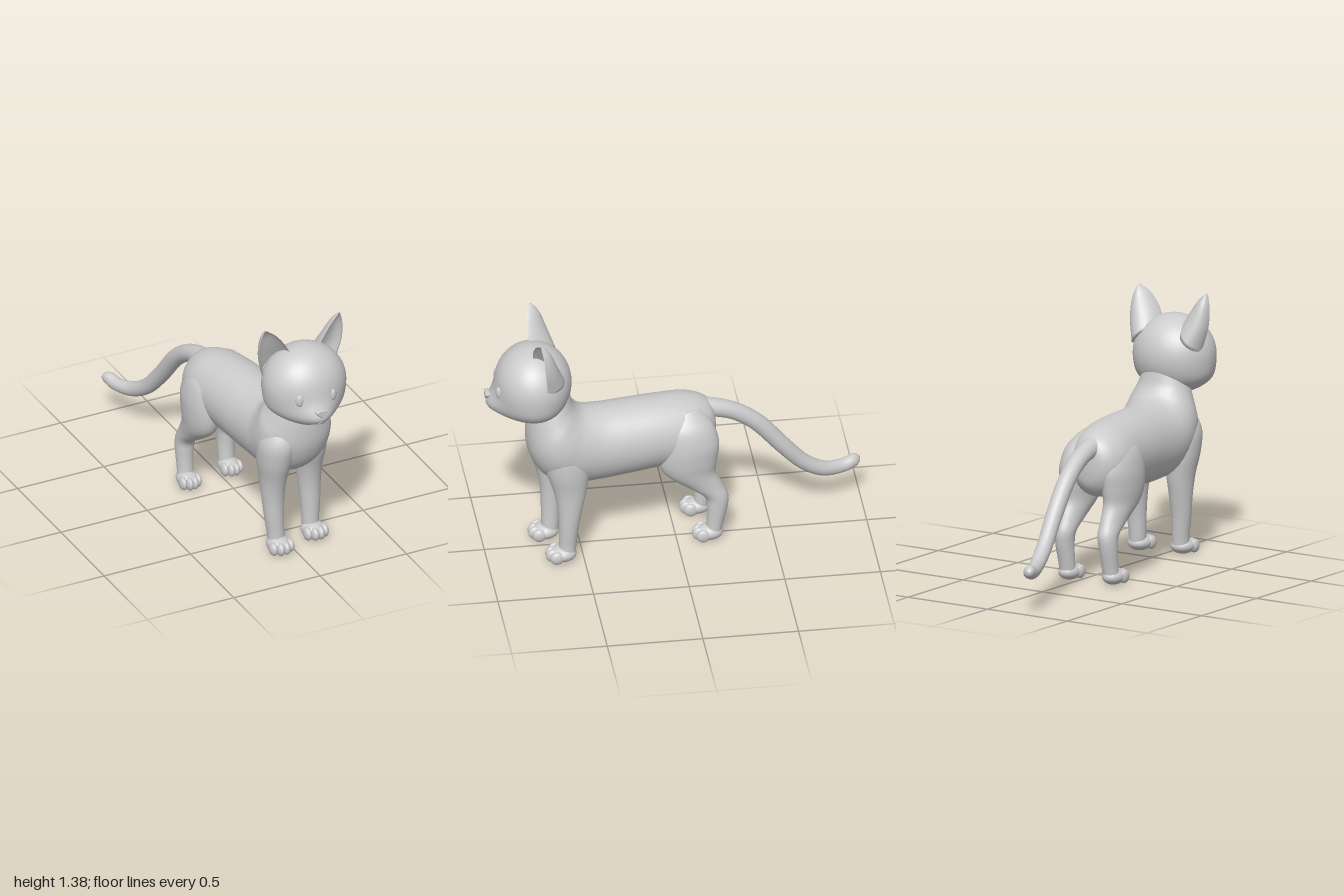
import * as THREE from 'three';

const grey = new THREE.MeshStandardMaterial({ color: 0xcccccc });
const V = (x, y, z) => new THREE.Vector3(x, y, z);
const bump = (d, w) => Math.exp(-(d * d) / (w * w));

function add(parent, name, geometry) {
  const mesh = new THREE.Mesh(geometry, grey);
  mesh.name = name;
  parent.add(mesh);
  return mesh;
}

// Smooth closed skin over a stack of rings, capped at both ends
function skin(rings) {
  const n = rings[0].length, pos = [], index = [];
  for (const ring of rings) for (const p of ring) pos.push(p.x, p.y, p.z);
  for (let i = 0; i < rings.length - 1; i++) {
    for (let j = 0; j < n; j++) {
      const k = (j + 1) % n, a = i * n + j, b = i * n + k;
      index.push(a, b, b + n, a, b + n, a + n);
    }
  }
  const last = (rings.length - 1) * n;
  for (let j = 1; j < n - 1; j++) {
    index.push(0, j + 1, j, last, last + j, last + j + 1);
  }
  const g = new THREE.BufferGeometry();
  g.setAttribute('position', new THREE.Float32BufferAttribute(pos, 3));
  g.setIndex(index);
  g.computeVertexNormals();
  return g;
}

// Loft through elliptical sections [x, y, z, half width, half depth, tilt];
// tilt 0 faces +z, a quarter turn faces up
function loft(sections, steps = 6, sides = 36) {
  const rings = [];
  const at = (i) => sections[Math.min(Math.max(i, 0), sections.length - 1)];
  for (let i = 0; i < sections.length - 1; i++) {
    for (let s = i ? 1 : 0; s <= steps; s++) {
      const f = s / steps;
      const [x, y, z, a, b, t] = at(i).map((p1, c) => {
        const p0 = at(i - 1)[c], p2 = at(i + 1)[c], p3 = at(i + 2)[c];
        return p1 + 0.5 * f * (p2 - p0 + f * (2 * p0 - 5 * p1 + 4 * p2 - p3 + f * (3 * (p1 - p2) + p3 - p0)));
      });
      rings.push(Array.from({ length: sides }, (_, j) => {
        const q = (j / sides) * Math.PI * 2, d = b * Math.sin(q);
        return V(x + a * Math.cos(q), y + d * Math.cos(t), z - d * Math.sin(t));
      }));
    }
  }
  return skin(rings);
}

// Head: a squashed sphere with full cheeks and a muzzle
const HEAD = V(0.03, 1.04, 0.75), SIZE = V(0.225, 0.21, 0.2);
const FACE_X = 0.012;
const muzzle = (x, y) => 0.08 * bump(x - (FACE_X - HEAD.x), 0.11) * bump(y + 0.13, 0.08);

// Depth of the face surface at a point seen from the front
function faceZ(x, y) {
  const dx = x - HEAD.x, dy = y - HEAD.y;
  const r = 1 - (dx / SIZE.x) ** 2 - (dy / SIZE.y) ** 2;
  return HEAD.z + SIZE.z * Math.sqrt(Math.max(r, 0)) + muzzle(dx, dy);
}

function headGeometry() {
  const g = new THREE.SphereGeometry(1, 64, 48).scale(SIZE.x, SIZE.y, SIZE.z);
  const p = g.attributes.position;
  for (let i = 0; i < p.count; i++) {
    const x = p.getX(i), y = p.getY(i), z = p.getZ(i);
    const front = THREE.MathUtils.smoothstep(z / SIZE.z, 0, 0.5);
    p.setXYZ(i, x * (1 + 0.1 * bump(y + 0.14, 0.07)), y, z + front * muzzle(x, y));
  }
  g.computeVertexNormals();
  return g.translate(HEAD.x, HEAD.y, HEAD.z);
}

// Ear: crescent sections between an outer and an inner edge, hollow in front
function earGeometry(side) {
  const outer = new THREE.CatmullRomCurve3([V(0.205, 1.08, 0.70), V(0.237, 1.21, 0.715), V(0.236, 1.31, 0.725), V(0.218, 1.378, 0.738)]);
  const inner = new THREE.CatmullRomCurve3([V(0.07, 1.2, 0.755), V(0.108, 1.275, 0.765), V(0.16, 1.345, 0.758), V(0.208, 1.38, 0.742)]);
  const rings = [];
  for (let i = 0; i <= 20; i++) {
    const v = i / 20, o = outer.getPoint(v), n = inner.getPoint(v);
    const mid = o.clone().add(n).multiplyScalar(0.5), half = o.sub(n).multiplyScalar(0.5);
    const depth = 0.012 + 0.105 * Math.pow(1 - v, 0.8);
    const ring = [];
    for (let j = 0; j < 40; j++) {
      const q = (j / 40) * Math.PI * 2, s = Math.sin(q);
      const back = s > 0 ? depth * s : -(depth - 0.012) * 0.78 * s;
      const p = mid.clone().addScaledVector(half, Math.cos(q));
      ring.push(V(HEAD.x + side * p.x, p.y, p.z - back));
    }
    rings.push(side < 0 ? ring.reverse() : ring);
  }
  return skin(rings);
}

// Paw: a rounded pad with four toes
function addPaw(parent, name, x, z, width) {
  const paw = new THREE.Group();
  paw.name = name;
  paw.position.set(x, 0, z);
  paw.scale.x = width;
  add(paw, 'pawPad', new THREE.SphereGeometry(1, 32, 20).scale(0.057, 0.043, 0.072)).position.y = 0.046;
  for (const i of [-1.5, -0.5, 0.5, 1.5]) {
    const toe = add(paw, 'toe', new THREE.SphereGeometry(1, 20, 16).scale(0.019, 0.036, 0.036));
    toe.position.set(i * 0.029, 0.043, 0.055 - 0.009 * i * i);
  }
  parent.add(paw);
}

// Left leg sections [x, y, z, half width, half depth], foot upwards
const FRONT_LEG = [
  [0.152, 0.03, 0.59, 0.045, 0.045], [0.15, 0.1, 0.585, 0.046, 0.046], [0.152, 0.2, 0.58, 0.052, 0.052],
  [0.15, 0.32, 0.572, 0.06, 0.066], [0.145, 0.43, 0.572, 0.07, 0.088], [0.138, 0.55, 0.585, 0.09, 0.113],
  [0.12, 0.67, 0.6, 0.1, 0.115], [0.09, 0.78, 0.6, 0.07, 0.07],
];
const HIND_LEG = [
  [0.055, 0.03, -0.185, 0.043, 0.043], [0.055, 0.1, -0.198, 0.044, 0.044], [0.058, 0.2, -0.21, 0.048, 0.054],
  [0.056, 0.27, -0.203, 0.053, 0.064], [0.055, 0.34, -0.14, 0.06, 0.097], [0.056, 0.42, -0.07, 0.074, 0.132],
  [0.058, 0.5, -0.055, 0.085, 0.155], [0.055, 0.6, -0.057, 0.09, 0.163], [0.03, 0.7, -0.05, 0.09, 0.14],
  [-0.01, 0.78, -0.05, 0.06, 0.07],
];

// The right leg mirrors the left one and stands a little further forward
function addLegs(parent, name, sections, sumLow, sumHigh, shift, pawZ, width) {
  for (const side of ['left', 'right']) {
    const right = side === 'right', dz = right ? shift : 0;
    const rows = sections.map(([x, y, z, a, b], i) => {
      const sum = THREE.MathUtils.lerp(sumLow, sumHigh, i / (sections.length - 1));
      return [right ? sum - x : x, y, z + dz, a, b, Math.PI / 2];
    });
    add(parent, `${side}${name}Leg`, loft(rows));
    addPaw(parent, `${side}${name}Paw`, rows[0][0], pawZ + dz, width);
  }
}

export function createModel() {
  const cat = new THREE.Group();
  cat.name = 'cat';

  // Torso and neck, rump to throat
  add(cat, 'torso', loft([
    [-0.085, 0.63, -0.22, 0.02, 0.03, 0], [-0.083, 0.63, -0.205, 0.09, 0.11, 0],
    [-0.078, 0.625, -0.15, 0.145, 0.165, 0], [-0.065, 0.63, -0.05, 0.18, 0.19, 0],
    [-0.04, 0.635, 0.1, 0.185, 0.196, 0], [-0.02, 0.63, 0.25, 0.187, 0.202, 0],
    [0, 0.625, 0.4, 0.188, 0.208, 0.06], [0.02, 0.635, 0.53, 0.2, 0.215, 0.28],
    [0.028, 0.68, 0.61, 0.207, 0.205, 0.53], [0.03, 0.753, 0.655, 0.196, 0.18, 0.735],
    [0.032, 0.835, 0.67, 0.162, 0.147, 0.955], [0.03, 0.95, 0.67, 0.12, 0.11, 1.2],
  ]));

  // Tail, tip to root
  add(cat, 'tail', loft([
    [-0.248, 0.232, -1, 0.004, -0.3], [-0.244, 0.23, -0.988, 0.024, -0.3], [-0.235, 0.223, -0.962, 0.035, -0.3],
    [-0.215, 0.21, -0.9, 0.037, -0.1], [-0.175, 0.228, -0.8, 0.04, 0.35], [-0.145, 0.3, -0.69, 0.042, 0.7],
    [-0.122, 0.43, -0.575, 0.044, 0.85], [-0.11, 0.575, -0.455, 0.046, 0.75], [-0.1, 0.665, -0.34, 0.046, 0.5],
    [-0.09, 0.712, -0.22, 0.05, 0.3], [-0.085, 0.725, -0.1, 0.06, 0.1],
  ].map(([x, y, z, r, t]) => [x, y, z, r, r, t]), 6, 24));

  addLegs(cat, 'Front', FRONT_LEG, 0.075, 0.04, 0.06, 0.612, 1.1);
  addLegs(cat, 'Hind', HIND_LEG, -0.145, -0.11, 0.03, -0.168, 0.97);

  // Head, ears and eyes
  add(cat, 'head', headGeometry());
  for (const side of [1, -1]) {
    const label = side > 0 ? 'left' : 'right';
    add(cat, `${label}Ear`, earGeometry(side));
    const x = FACE_X + side * 0.095, y = 1.033;
    const eye = add(cat, `${label}Eye`, new THREE.SphereGeometry(1, 24, 18).scale(0.02, 0.033, 0.012));
    eye.position.set(x, y, faceZ(x, y));
    eye.rotation.y = side * 0.5;

    // Half of the mouth line
    const path = [[0, 0.948], [0, 0.918], [0.014, 0.9], [0.036, 0.896], [0.057, 0.911]].map(([dx, py]) => {
      const px = FACE_X + side * dx;
      return V(px, py, faceZ(px, py) - 0.002);
    });
    add(cat, `${label}Mouth`, new THREE.TubeGeometry(new THREE.CatmullRomCurve3(path), 24, 0.005, 8));
  }

  // Nose: a soft triangle
  const tri = new THREE.Shape();
  tri.moveTo(0, -0.018);
  tri.quadraticCurveTo(0.022, -0.002, 0.026, 0.008);
  tri.quadraticCurveTo(0, 0.016, -0.026, 0.008);
  tri.quadraticCurveTo(-0.022, -0.002, 0, -0.018);
  add(cat, 'nose', new THREE.ExtrudeGeometry(tri, {
    depth: 0.012, bevelThickness: 0.008, bevelSize: 0.007, bevelSegments: 4, curveSegments: 10,
  })).position.set(FACE_X, 0.97, 0.98);

  return cat;
}
